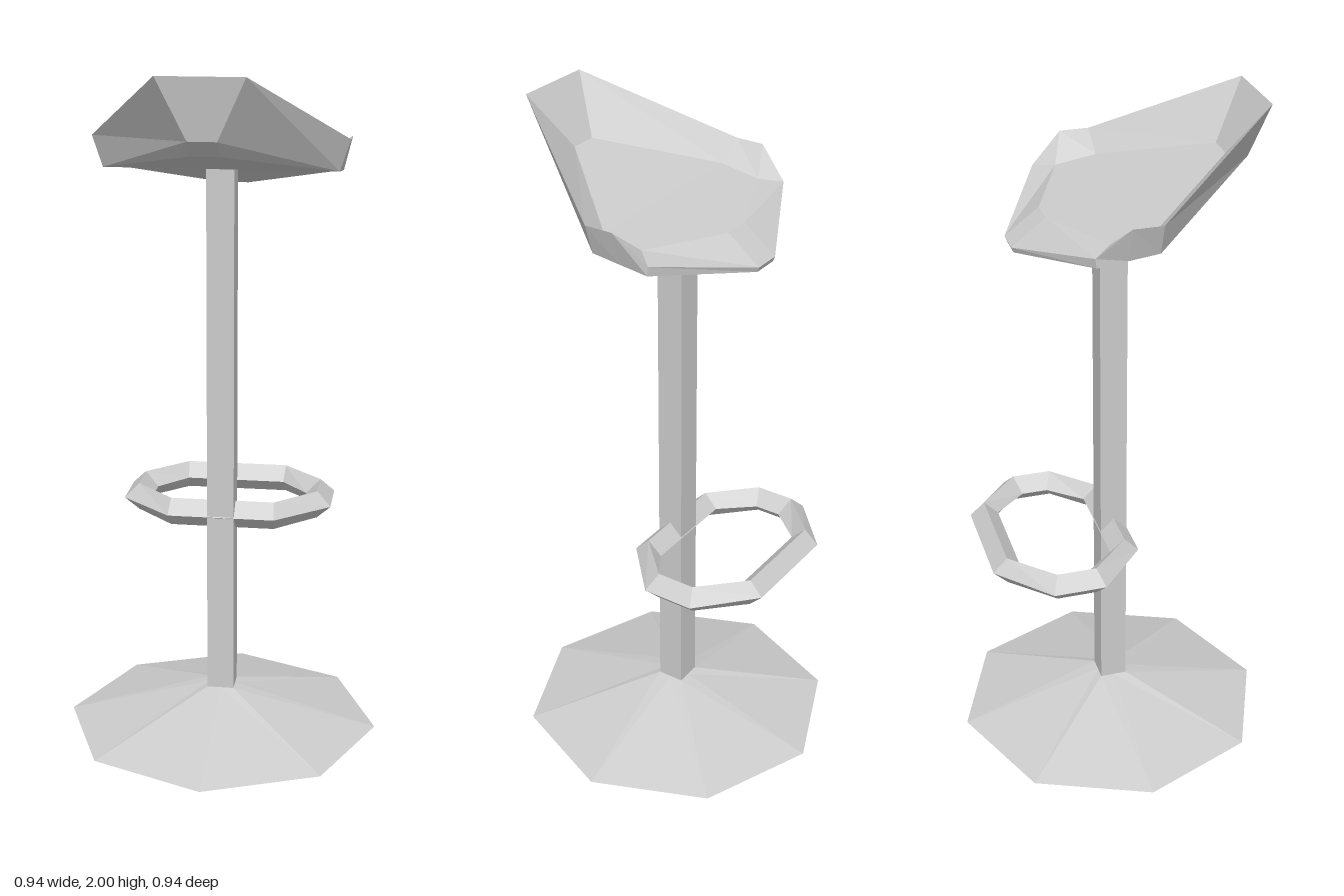
import * as THREE from 'three';

const solid = new THREE.MeshStandardMaterial({ color: 0xcccccc, flatShading: true });
const open = new THREE.MeshStandardMaterial({ color: 0xcccccc, flatShading: true, side: THREE.DoubleSide });

// Skins successive closed loops (each counterclockwise seen from above).
// With caps, the first loop is closed facing up and the last facing down.
function loft(name, loops, material, caps = false) {
  const pos = [];
  const tri = (a, b, c) => {
    const t = new THREE.Triangle(...[a, b, c].map((p) => new THREE.Vector3(...p)));
    if (t.getArea() > 1e-8) pos.push(...a, ...b, ...c);
  };
  const quad = (a, b, c, d) => { tri(a, b, c); tri(a, c, d); };
  const n = loops[0].length;
  for (let r = 0; r + 1 < loops.length; r++) {
    for (let i = 0; i < n; i++) {
      const j = (i + 1) % n;
      quad(loops[r][i], loops[r + 1][i], loops[r + 1][j], loops[r][j]);
    }
  }
  if (caps) {
    const top = loops[0], bottom = loops[loops.length - 1];
    for (let i = 0; i + 1 < n / 2; i++) {
      quad(top[i], top[i + 1], top[n - 2 - i], top[n - 1 - i]);
      quad(bottom[n - 1 - i], bottom[n - 2 - i], bottom[i + 1], bottom[i]);
    }
  }
  const geometry = new THREE.BufferGeometry();
  geometry.setAttribute('position', new THREE.Float32BufferAttribute(pos, 3));
  geometry.computeVertexNormals();
  const mesh = new THREE.Mesh(geometry, material);
  mesh.name = name;
  return mesh;
}

// Completes a loop from its +x half, listed from +z to -z.
const mirror = (half) => [...half, ...half.map(([x, y, z]) => [-x, y, z]).reverse()];

// Ring of points around the y axis, from a function of the angle.
const around = (n, start, y, radius) => Array.from({ length: n }, (_, i) => {
  const a = start + (i / n) * Math.PI * 2;
  const r = radius(a);
  return [Math.sin(a) * r, y, Math.cos(a) * r];
});

const POST = 0.04; // half width of the square post
const square = (a) => POST / Math.max(Math.abs(Math.sin(a)), Math.abs(Math.cos(a)));

function makeSeat() {
  const floor = [[0.04, 1.845, 0.315], [0.285, 1.75, 0.04], [0.285, 1.73, -0.08], [0.285, 1.73, -0.08], [0.04, 1.715, -0.19]];
  const rim = [[0.12, 2, 0.413], [0.365, 1.8, 0.04], [0.365, 1.8, -0.045], [0.335, 1.717, -0.135], [0.04, 1.64, -0.288]];
  const sides = [[0.335, 1.71, 0.04], [0.335, 1.7, -0.045], [0.335, 1.69, -0.132], [0.04, 1.625, -0.282]];
  const shell = [[0.04, 1.83, 0.38], ...sides];
  const under = [[0.04, 1.785, 0.33], ...sides];
  return loft('seat', [floor, rim, shell, under].map(mirror), solid, true);
}

function makeFootRing() {
  // Oblong eight-sided ring with a diamond section
  const path = [[0.155, 0.178], [0.275, 0.058], [0.275, -0.058], [0.155, -0.178]];
  const out = [[0.1, 1], [1, 0.45], [1, -0.45], [0.1, -1]];
  const loop = (offset, y) => mirror(path.map(([x, z], i) =>
    [x + out[i][0] * offset, y, z + out[i][1] * offset - 0.178]));
  const d = 0.042, y = 0.672;
  return loft('footRing', [loop(0, y + d), loop(d, y), loop(0, y - d), loop(-d, y), loop(0, y + d)], solid);
}

export function createModel() {
  const model = new THREE.Group();
  model.name = 'barStool';

  // Open faceted cone foot and hollow square post
  model.add(loft('base', [around(8, 0, 0.12, square), around(8, 0, 0, () => 0.472)], open));
  model.add(loft('post', [around(4, Math.PI / 4, 1.71, square), around(4, Math.PI / 4, 0.12, square)], open));
  model.add(makeFootRing());
  model.add(makeSeat());
  return model;
}
